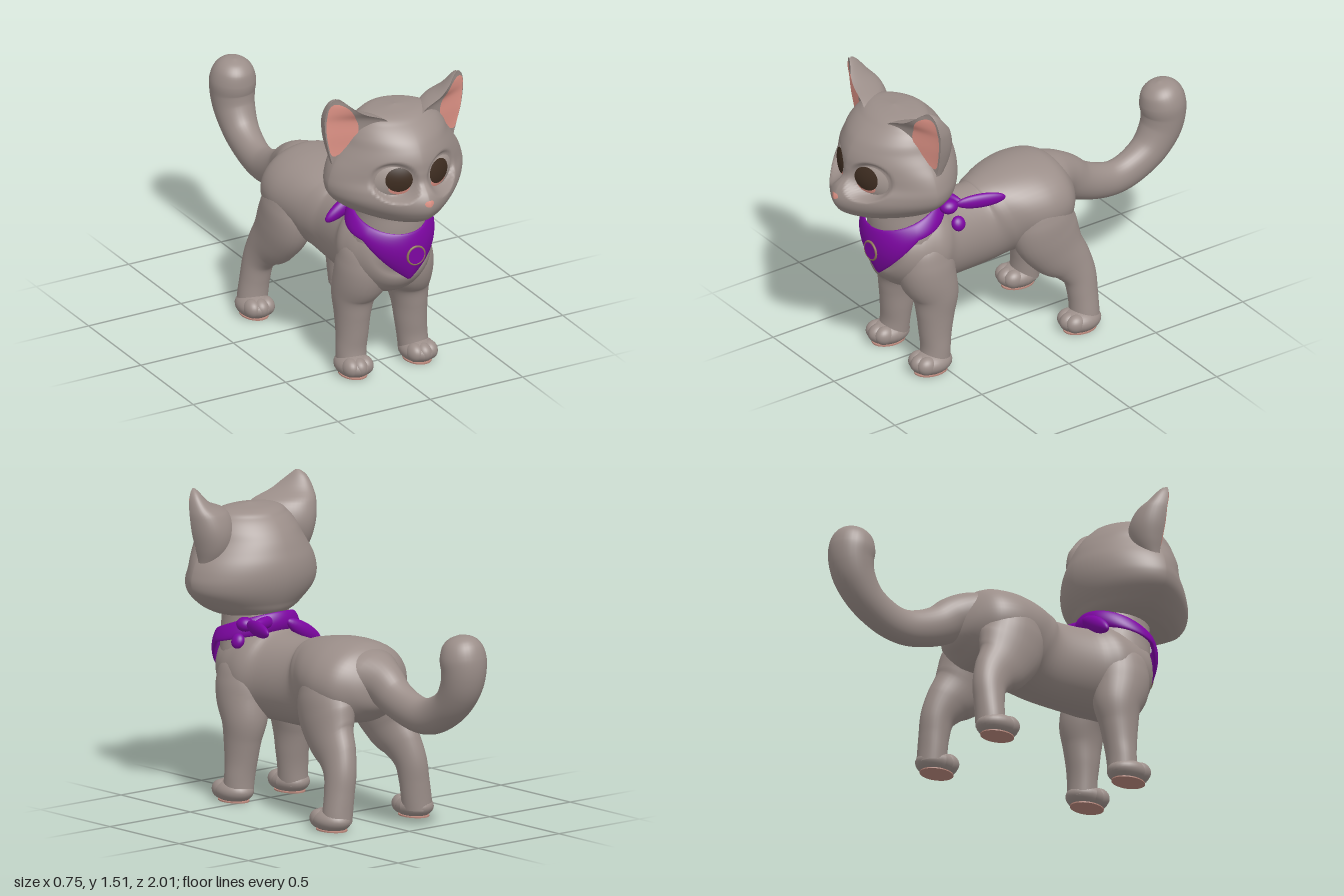
import * as THREE from 'three';
import { mergeVertices } from 'three/addons/utils/BufferGeometryUtils.js';

const mat = (name, color, side = THREE.FrontSide) => {
  const m = new THREE.MeshStandardMaterial({ color, side });
  m.name = name;
  return m;
};

// Smooth lookup in a table keyed on its first column
function sample(table, k) {
  let i = 0;
  while (i < table.length - 2 && k > table[i + 1][0]) i++;
  const p = table[i], q = table[i + 1], h = q[0] - p[0], t = (k - p[0]) / h;
  const slope = (j, c) => {
    const a = table[Math.max(j - 1, 0)], b = table[Math.min(j + 1, table.length - 1)];
    return (b[c] - a[c]) / (b[0] - a[0]);
  };
  return p.map((_, c) => p[c] * (2 * t ** 3 - 3 * t * t + 1) + q[c] * (3 * t * t - 2 * t ** 3)
    + h * slope(i, c) * (t ** 3 - 2 * t * t + t) + h * slope(i + 1, c) * (t ** 3 - t * t));
}

// Smooth grid surface from fn(u, v) -> [x, y, z]; the outside is du x dv
function surface(fn, nu, nv) {
  const pos = [], idx = [];
  for (let j = 0; j <= nv; j++) for (let i = 0; i <= nu; i++) pos.push(...fn(i / nu, j / nv));
  for (let j = 0; j < nv; j++) for (let i = 0; i < nu; i++) {
    const a = j * (nu + 1) + i, d = a + nu + 1;
    idx.push(a, a + 1, d + 1, a, d + 1, d);
  }
  let g = new THREE.BufferGeometry();
  g.setAttribute('position', new THREE.Float32BufferAttribute(pos, 3));
  g.setIndex(idx);
  g = mergeVertices(g, 1e-5);
  g.computeVertexNormals();
  return g;
}

// Elliptical loft; rows are [x, y, z, halfWidth, halfDepth]
function loft(rows, nu = 32) {
  const table = rows.map((r, i) => [i, ...r]), n = rows.length - 1;
  return surface((u, v) => {
    const k = v * n, [, x, y, z, a, b] = sample(table, k);
    const p = sample(table, Math.max(k - 0.02, 0)), q = sample(table, Math.min(k + 0.02, n));
    const ty = q[2] - p[2], tz = q[3] - p[3], l = Math.hypot(ty, tz) || 1;
    const c = Math.cos(u * 2 * Math.PI) * Math.max(a, 0), s = Math.sin(u * 2 * Math.PI) * Math.max(b, 0);
    return [x + c, y + s * tz / l, z - s * ty / l];
  }, nu, n * 6);
}

function mirrored(geo) {
  const g = geo.clone().scale(-1, 1, 1), ix = g.index;
  for (let i = 0; i < ix.count; i += 3) {
    const a = ix.getX(i);
    ix.setX(i, ix.getX(i + 1));
    ix.setX(i + 1, a);
  }
  return g;
}

const blob = (p, s, rot = [0, 0, 0]) => new THREE.SphereGeometry(1, 28, 20).scale(...s)
  .rotateX(rot[0]).rotateY(rot[1]).rotateZ(rot[2]).translate(...p);

// Head levels: y, half width, front z, back z, front roundness
const HEAD_Z = 0.655;
const HEAD = [
  [0.868, 0, 0.655, 0.655, 1.7], [0.873, 0.12, 0.83, 0.52, 1.7], [0.9, 0.215, 0.93, 0.45, 1.55],
  [0.95, 0.295, 0.985, 0.415, 1.45], [1.0, 0.345, 1.0, 0.39, 1.4], [1.05, 0.36, 0.982, 0.375, 1.4],
  [1.1, 0.352, 0.94, 0.37, 1.45], [1.15, 0.332, 0.932, 0.375, 1.5], [1.2, 0.3, 0.925, 0.39, 1.6],
  [1.25, 0.267, 0.905, 0.41, 1.7], [1.3, 0.242, 0.87, 0.44, 1.8], [1.35, 0.2, 0.81, 0.485, 1.9],
  [1.385, 0.14, 0.745, 0.54, 2], [1.4, 0, 0.655, 0.655, 2],
];
// Eyes lie on a slanted, gently domed oval; the face sinks behind it
const eyeRadius = (x, y) => Math.hypot((Math.abs(x) - 0.126) / 0.079, (y - 1.112) / 0.073);
const eyeZ = (x, y) => 0.908 - 0.5 * (Math.abs(x) - 0.048) + 0.018 * (1 - eyeRadius(x, y) ** 2);
function headPoint(u, v) {
  const y = 1.134 - 0.266 * Math.cos(Math.PI * v), [, w, f, b, n] = sample(HEAD, y);
  const c = Math.cos(u * 2 * Math.PI), s = Math.sin(u * 2 * Math.PI), e = 2 / (s > 0 ? 1.8 : n);
  const x = Math.max(w, 0) * Math.sign(c) * Math.abs(c) ** e, depth = s > 0 ? HEAD_Z - b : f - HEAD_Z;
  const z = HEAD_Z - depth * Math.sign(s) * Math.abs(s) ** e;
  const sink = s < 0 ? 1 - THREE.MathUtils.smoothstep(eyeRadius(x, y), 0.98, 1.35) : 0;
  return [x, y, z + sink * (Math.min(z, eyeZ(x, y) - 0.008) - z)];
}
// Thin oval whose depth follows zAt(x, y)
const oval = (cx, cy, rx, ry, zAt) => surface((r, a) => {
  const x = cx + rx * r * Math.cos(a * 2 * Math.PI), y = cy + ry * r * Math.sin(a * 2 * Math.PI);
  return [x, y, zAt(x, y)];
}, 10, 36);

// Ear levels: y, inner x, outer x, inner z, outer z, depth of the back
const EAR = [
  [1.08, 0.15, 0.322, 0.7, 0.645, 0.03], [1.15, 0.1, 0.328, 0.735, 0.64, 0.1],
  [1.22, 0.07, 0.346, 0.755, 0.64, 0.145], [1.3, 0.06, 0.365, 0.77, 0.645, 0.165],
  [1.38, 0.105, 0.374, 0.76, 0.65, 0.142], [1.42, 0.205, 0.372, 0.742, 0.657, 0.105],
  [1.46, 0.262, 0.364, 0.722, 0.665, 0.07], [1.49, 0.295, 0.35, 0.7, 0.673, 0.038],
  [1.507, 0.318, 0.33, 0.69, 0.682, 0.008],
];
// Inner ear edges: y, inner x, outer x
const EAR_PINK = [
  [1.195, 0.315, 0.328], [1.21, 0.29, 0.338], [1.245, 0.255, 0.35], [1.34, 0.22, 0.365],
  [1.43, 0.258, 0.365], [1.465, 0.288, 0.357], [1.48, 0.318, 0.34],
];
function earPoint(y, c, s, lift = 0) {
  const [, xi, xo, zi, zo, d] = sample(EAR, y);
  const t = (1 + c) / 2;
  return [xi + (xo - xi) * t, y, zi + (zo - zi) * t - d * (s > 0 ? s : -0.06 * s) + lift];
}

export function createModel() {
  const root = new THREE.Group();
  root.name = 'cat';
  const fur = mat('grey fur', 0x9b8e89), pink = mat('pink skin', 0xe6988b, THREE.DoubleSide);
  const cloth = mat('purple cloth', 0x7d06a2), iris = mat('dark brown iris', 0x3e2d21);
  const eyeGrey = mat('eye grey', 0xa89b95), padMat = mat('brown pads', 0xb8877b);
  const bronze = mat('bronze', 0x8c7358);
  const add = (name, geo, m) => {
    const mesh = new THREE.Mesh(geo, m);
    mesh.name = name;
    root.add(mesh);
  };
  const pair = (name, geo, m) => {
    add(name + 'Left', geo, m);
    add(name + 'Right', mirrored(geo), m);
  };

  // Trunk, neck and tail
  add('body', loft([
    [0, 0.69, 0.765, 0, 0], [0, 0.688, 0.752, 0.085, 0.075], [0, 0.678, 0.705, 0.16, 0.14],
    [0, 0.65, 0.64, 0.2, 0.195], [0, 0.628, 0.58, 0.217, 0.215], [0, 0.612, 0.5, 0.222, 0.228],
    [0, 0.6, 0.4, 0.185, 0.213],
    [0, 0.6, 0.2, 0.168, 0.21], [0, 0.625, 0.1, 0.203, 0.215], [0, 0.655, 0, 0.245, 0.205],
    [0, 0.665, -0.1, 0.262, 0.2], [0, 0.665, -0.2, 0.24, 0.185], [0, 0.667, -0.265, 0.175, 0.14],
    [0, 0.672, -0.31, 0.09, 0.085], [0, 0.675, -0.33, 0, 0],
  ], 48), fur);
  add('neck', loft([
    [0, 0.6, 0.57, 0.19, 0.17], [0, 0.7, 0.59, 0.19, 0.175], [0, 0.78, 0.605, 0.172, 0.168],
    [0, 0.86, 0.61, 0.162, 0.16], [0, 0.93, 0.62, 0.16, 0.16],
  ]), fur);
  add('tail', loft([
    [0, 0.72, -0.16, 0.19, 0.12], [0, 0.705, -0.25, 0.14, 0.122], [0, 0.682, -0.32, 0.1, 0.108],
    [0, 0.63, -0.4, 0.082, 0.096],
    [0, 0.59, -0.5, 0.073, 0.09], [0, 0.573, -0.6, 0.07, 0.087], [0, 0.595, -0.7, 0.074, 0.088],
    [0, 0.66, -0.805, 0.085, 0.09], [0, 0.75, -0.87, 0.098, 0.1], [0, 0.83, -0.892, 0.107, 0.107],
    [0, 0.9, -0.888, 0.111, 0.111], [0, 0.96, -0.877, 0.092, 0.095], [0, 0.995, -0.87, 0.055, 0.057],
    [0, 1.01, -0.867, 0, 0],
  ]), fur);

  // Legs
  pair('frontLeg', loft([
    [0.1, 0.76, 0.55, 0, 0], [0.108, 0.68, 0.555, 0.095, 0.11], [0.115, 0.59, 0.56, 0.122, 0.14],
    [0.12, 0.5, 0.55, 0.128, 0.142], [0.142, 0.4, 0.522, 0.106, 0.117], [0.153, 0.3, 0.525, 0.086, 0.096],
    [0.158, 0.2, 0.53, 0.078, 0.08], [0.165, 0.12, 0.533, 0.075, 0.071], [0.17, 0.04, 0.54, 0.072, 0.075],
  ]), fur);
  pair('hindLeg', loft([
    [0.11, 0.8, -0.06, 0, 0], [0.13, 0.72, -0.07, 0.1, 0.11], [0.148, 0.63, -0.08, 0.12, 0.155],
    [0.163, 0.53, -0.1, 0.113, 0.17], [0.182, 0.43, -0.15, 0.094, 0.145], [0.2, 0.35, -0.215, 0.08, 0.11],
    [0.218, 0.27, -0.255, 0.073, 0.085], [0.232, 0.18, -0.265, 0.072, 0.074], [0.243, 0.1, -0.267, 0.074, 0.071],
    [0.25, 0.04, -0.265, 0.074, 0.074],
  ]), fur);

  // Paws with flat soles, soft toes and pads
  for (const [name, x, z] of [['front', 0.174, 0.565], ['hind', 0.255, -0.235]]) {
    const paw = blob([x, 0.05, z], [0.085, 0.058, 0.108]), p = paw.attributes.position;
    for (let i = 0; i < p.count; i++) p.setY(i, Math.max(p.getY(i), 0.006));
    paw.computeVertexNormals();
    pair(name + 'Paw', paw, fur);
    for (const k of [-1, 0, 1])
      pair(name + 'Toe', blob([x + k * 0.037, 0.054, z + 0.058 - Math.abs(k) * 0.012], [0.041, 0.046, 0.052]), fur);
    pair(name + 'Pad', new THREE.CylinderGeometry(1, 1, 0.006, 28).scale(0.064, 1, 0.086).translate(x, 0.003, z), padMat);
  }

  // Head and ears
  add('head', surface(headPoint, 160, 110), fur);
  pair('ear', surface((u, v) => {
    const a = u * 2 * Math.PI;
    return earPoint(1.08 + 0.427 * v, Math.cos(a), Math.sin(a));
  }, 48, 32), fur);
  pair('innerEar', surface((u, v) => {
    const y = 1.195 + 0.285 * v, [, a, b] = sample(EAR_PINK, y), [, xi, xo] = sample(EAR, y);
    const q = Math.min(0.97, 2 * (a + (b - a) * u - xi) / (xo - xi) - 1);
    return earPoint(y, q, -Math.sqrt(1 - q * q), 0.006);
  }, 14, 28), pink);

  // Face
  pair('eye', oval(0.126, 1.112, 0.079, 0.073, eyeZ), eyeGrey);
  pair('lowerIris', oval(0.105, 1.076, 0.048, 0.032, (x, y) => eyeZ(x, y) + 0.003), pink);
  pair('iris', oval(0.107, 1.121, 0.061, 0.06, (x, y) => eyeZ(x, y) + 0.006), iris);
  add('nose', oval(0, 1.016, 0.024, 0.017, (x, y) => 1.004 - 1.4 * Math.abs(x) ** 1.3 - 6 * (y - 1.01) ** 2), pink);

  // Neckerchief with a pointed front
  add('neckerchief', surface((u, v) => {
    const f = (u - 0.5) * 2 * Math.PI, a = v * 2 * Math.PI, s = (1 - Math.sin(a)) / 2, c = Math.cos(f);
    const top = 0.843 - 0.065 * c, low = 0.765 - 0.045 * c - 0.2 * Math.max(0, 1 - Math.abs(f - 0.1) / 1.2);
    const r = 0.014 * Math.cos(a);
    const rx = 0.178 + 0.035 * s + r, rz = 0.178 + 0.008 * Math.sin(Math.PI * s) - 0.027 * s * s * Math.max(c, 0) ** 4 + r;
    return [rx * Math.sin(f), top + (low - top) * s, 0.61 + rz * c];
  }, 96, 28), cloth);
  add('knot', blob([0.185, 0.865, 0.47], [0.04, 0.035, 0.045]), cloth);
  add('knotLoop', blob([0.243, 0.795, 0.455], [0.027, 0.037, 0.035], [0, 0, 0.4]), cloth);
  add('longScarfEnd', blob([0.235, 0.872, 0.32], [0.022, 0.036, 0.122], [0, -0.3, 0]), cloth);
  add('knotBridge', blob([0.1, 0.865, 0.43], [0.1, 0.03, 0.025], [0, 0.3, 0]), cloth);
  add('shortScarfEnd', blob([-0.13, 0.8, 0.41], [0.12, 0.038, 0.03], [0, 0, 0.55]), cloth);

  // Round pendant
  add('pendant', new THREE.CylinderGeometry(0.042, 0.042, 0.012, 32).rotateX(Math.PI / 2).translate(0.03, 0.665, 0.81), cloth);
  add('pendantRim', new THREE.TorusGeometry(0.045, 0.006, 10, 40).translate(0.03, 0.665, 0.811), bronze);
  return root;
}
